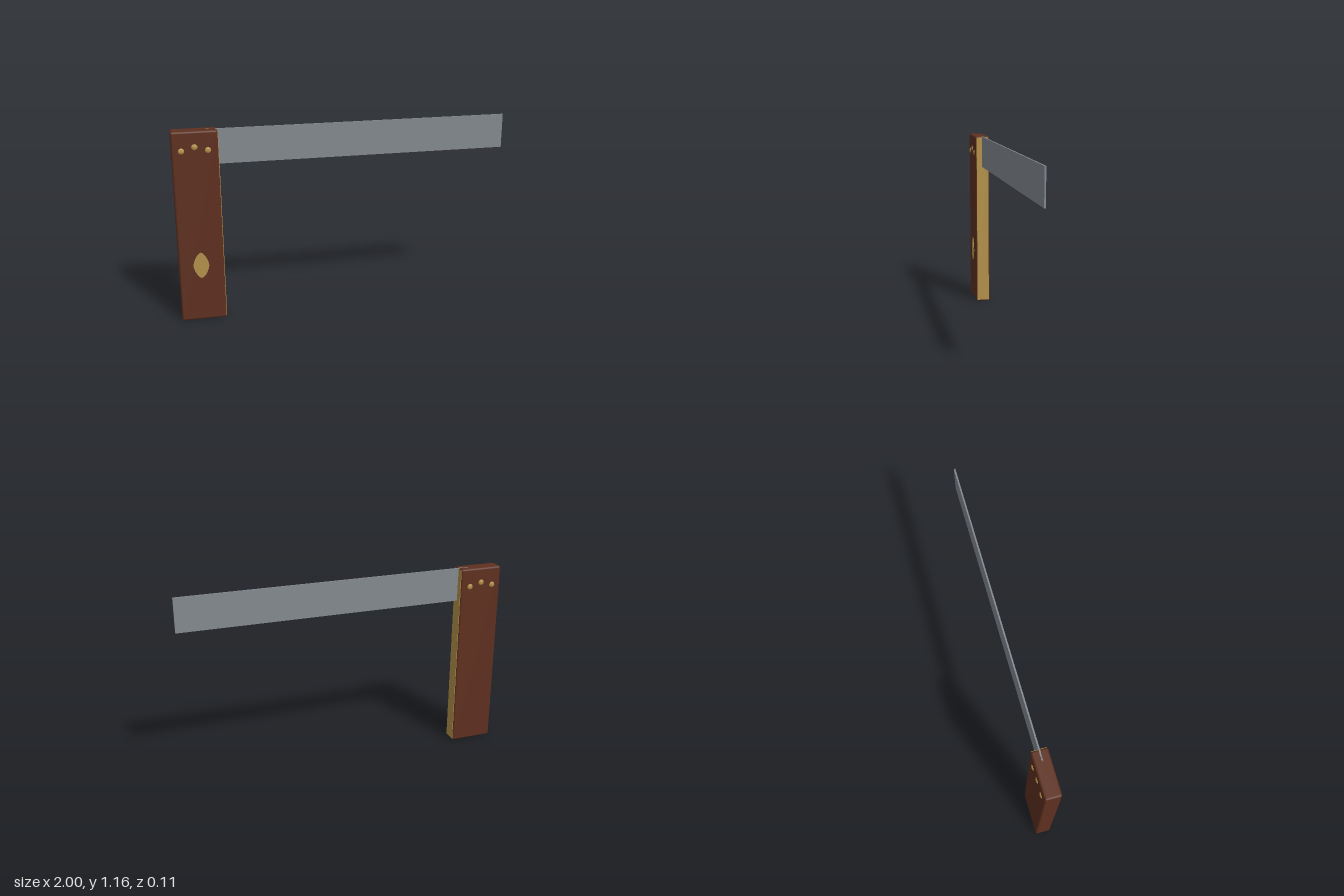
import * as THREE from 'three';
import { RoundedBoxGeometry } from 'three/addons/geometries/RoundedBoxGeometry.js';

const material = (name, color) => {
  const m = new THREE.MeshStandardMaterial({ color });
  m.name = name;
  return m;
};

export function createModel() {
  const wood = material('rosewood', 0x5f3020);
  const brass = material('brass', 0xb5924a);
  const steel = material('steel', 0x848a90);

  const group = new THREE.Group();
  group.name = 'trySquare';
  const add = (name, geometry, mat, x, y, z) => {
    const mesh = new THREE.Mesh(geometry, mat);
    mesh.name = name;
    mesh.position.set(x, y, z);
    group.add(mesh);
    return mesh;
  };

  const top = 1.157, depth = 0.094, stockWidth = 0.265;
  const stockX = -1 + stockWidth / 2;

  // Wooden stock with softened edges
  add('stock', new RoundedBoxGeometry(stockWidth, top, depth, 2, 0.012), wood, stockX, top / 2, 0);

  // Brass wear plate on the inner edge
  add('wearPlate', new THREE.BoxGeometry(0.006, top - 0.016, 0.08), brass, -0.736, top / 2, 0);

  // Steel blade, let into the stock
  const bladeHeight = 0.206, bladeStart = -0.8;
  add('blade', new THREE.BoxGeometry(1 - bladeStart, bladeHeight, 0.009), steel,
    (1 + bladeStart) / 2, top - bladeHeight / 2, 0);

  // Three domed rivets on each face
  const dome = new THREE.SphereGeometry(0.018, 16, 6, 0, Math.PI * 2, 0, Math.PI / 2);
  dome.scale(1, 0.45, 1);
  dome.rotateX(Math.PI / 2);
  for (const side of [1, -1]) {
    for (const [x, y] of [[-0.945, 1.045], [-0.87, 1.066], [-0.795, 1.045]]) {
      const rivet = add('rivet', dome, brass, x, y, side * (depth / 2 - 0.0005));
      if (side < 0) rivet.rotation.y = Math.PI;
    }
  }

  // Pointed oval inlay on the front face
  const oval = new THREE.Shape();
  oval.moveTo(0, -0.08);
  oval.bezierCurveTo(0.025, -0.075, 0.046, -0.02, 0.046, 0);
  oval.bezierCurveTo(0.046, 0.02, 0.025, 0.075, 0, 0.08);
  oval.bezierCurveTo(-0.025, 0.075, -0.046, 0.02, -0.046, 0);
  oval.bezierCurveTo(-0.046, -0.02, -0.025, -0.075, 0, -0.08);
  add('inlay', new THREE.ExtrudeGeometry(oval, { depth: 0.005, bevelEnabled: false, curveSegments: 8 }),
    brass, -0.87, 0.35, depth / 2 - 0.002);

  return group;
}
